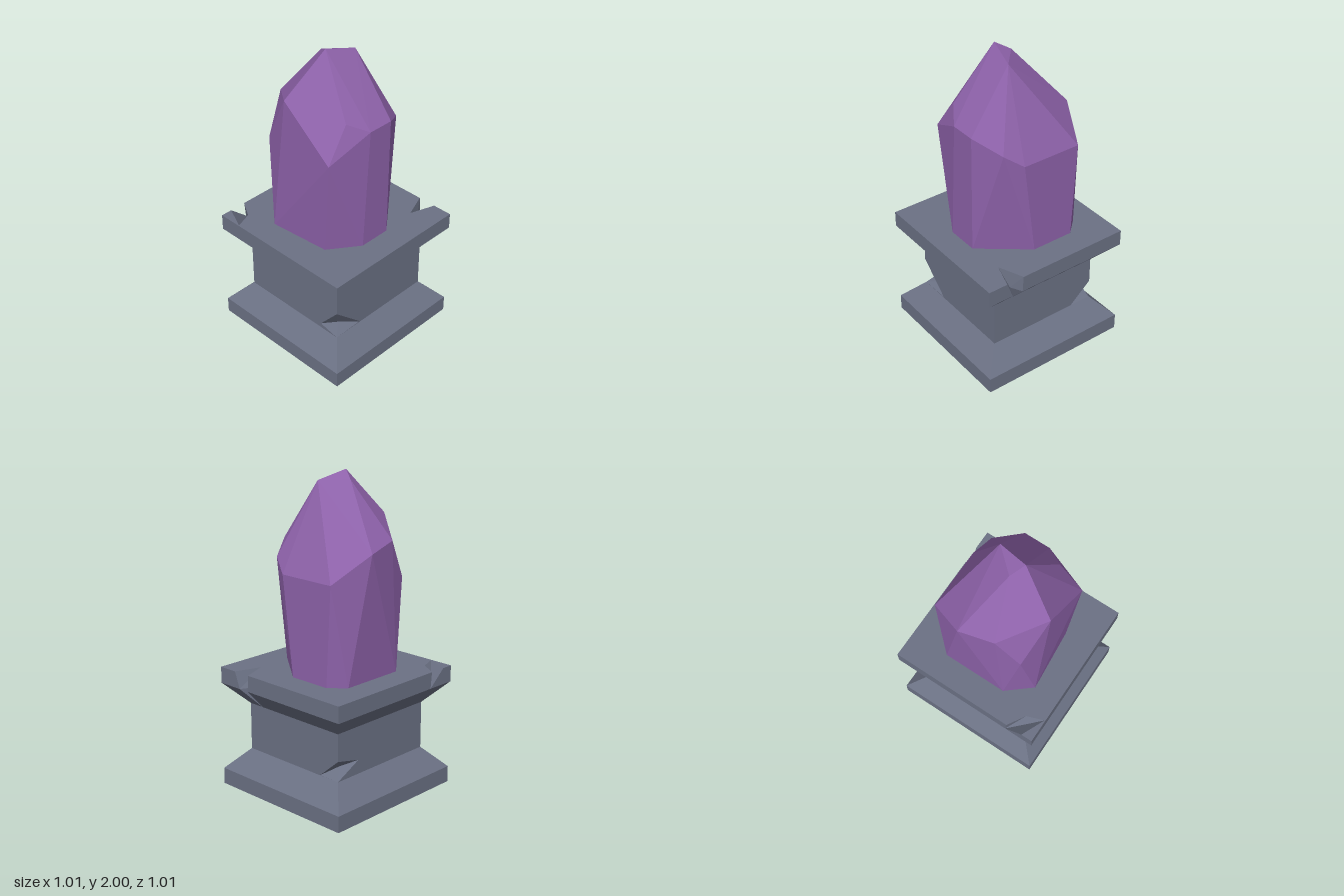
import * as THREE from 'three';
import { ConvexGeometry } from 'three/addons/geometries/ConvexGeometry.js';

const stone = new THREE.MeshStandardMaterial({ color: 0x6b7184 });
stone.name = 'grey stone';
const purple = new THREE.MeshStandardMaterial({ color: 0x8e62aa });
purple.name = 'purple crystal';

// One square cross-section, counter-clockwise from above. Chips are groups of
// points that collapse onto the wall wherever the stone is whole.
function ring(y, h, { frontChip, sideNotch, backChip, backNotch } = {}) {
  const repeat = (n, p) => Array.from({ length: n }, () => p);
  return [
    ...(frontChip || repeat(3, [-h, y, h])),
    [h, y, h],
    ...(sideNotch || repeat(3, [h, y, 0.27])),
    ...(backChip || repeat(3, [h, y, -h])),
    ...(backNotch || repeat(4, [-0.31, y, -h])),
    [-h, y, -h],
  ];
}

// Join rings from bottom to top and close both ends
function loft(rings) {
  const pos = [];
  const tri = (a, b, c) => {
    const [A, B, C] = [a, b, c].map((p) => new THREE.Vector3(...p));
    if (B.sub(A).cross(C.sub(A)).length() > 1e-6) pos.push(...a, ...b, ...c);
  };
  for (let k = 0; k + 1 < rings.length; k++) {
    const lo = rings[k], hi = rings[k + 1];
    lo.forEach((p, i) => {
      const j = (i + 1) % lo.length;
      tri(p, lo[j], hi[j]);
      tri(p, hi[j], hi[i]);
    });
  }
  const cap = (r, up) => {
    const pts = r.filter((p, i) => p.some((v, n) => v !== r[(i + 1) % r.length][n]));
    const flat = pts.map((p) => new THREE.Vector2(p[0], -p[2]));
    for (const [a, b, c] of THREE.ShapeUtils.triangulateShape(flat, [])) {
      if (up) tri(pts[a], pts[b], pts[c]);
      else tri(pts[a], pts[c], pts[b]);
    }
  };
  cap(rings[0], false);
  cap(rings[rings.length - 1], true);
  const geo = new THREE.BufferGeometry();
  geo.setAttribute('position', new THREE.Float32BufferAttribute(pos, 3));
  geo.computeVertexNormals();
  return geo;
}

function makePedestal() {
  const W = 0.505, N = 0.378; // half widths of slabs and neck
  return loft([
    ring(0, W),
    ring(0.105, W),
    ring(0.24, N),
    // deepest part of the two chipped neck corners
    ring(0.26, N, {
      frontChip: [[-N, 0.27, 0.24], [-0.29, 0.265, 0.3], [-0.17, 0.241, N]],
      backChip: [[N, 0.241, -0.23], [0.29, 0.29, -0.3], [0.2, 0.33, -N]],
    }),
    ring(0.4, N, {
      frontChip: Array(3).fill([-N, 0.43, N]),
      backChip: Array(3).fill([N, 0.37, -N]),
    }),
    ring(0.545, N),
    // groove in the flare and top slab
    ring(0.68, W, { sideNotch: [[W, 0.68, 0.335], [0.43, 0.68, 0.3], [W, 0.68, 0.262]] }),
    ring(0.785, W, {
      sideNotch: [[W, 0.785, 0.375], [0.34, 0.785, 0.32], [W, 0.785, 0.255]],
      backNotch: [[-0.32, 0.785, -W], [-0.39, 0.785, -0.39], [-0.5, 0.785, -0.35], [-0.43, 0.785, -W]],
    }),
  ]);
}

function makeCrystal() {
  const foot = [
    [-0.11, 0.335], [0.1, 0.335], [0.333, 0.04], [0.333, -0.24], [0.245, -0.335],
    [-0.18, -0.335], [-0.335, -0.205], [-0.3, 0.2],
  ].map(([x, z]) => [x, 0.78, z]);
  const shoulder = [
    [-0.06, 1.57, 0.335], [0.11, 1.57, 0.335], [0.275, 1.49, 0.23], [0.333, 1.41, 0.12],
    [0.333, 1.41, -0.275], [0.095, 1.57, -0.38], [-0.13, 1.61, -0.335],
    [-0.275, 1.36, -0.29], [-0.335, 1.72, -0.085], [-0.335, 1.43, 0.27], [-0.18, 1.64, 0.255],
  ];
  const tip = [[-0.1, 2, 0.015], [0.095, 1.95, 0.06], [-0.05, 1.95, -0.07]];
  return new ConvexGeometry([...foot, ...shoulder, ...tip].map((p) => new THREE.Vector3(...p)));
}

export function createModel() {
  const model = new THREE.Group();
  model.name = 'crystalOnPedestal';
  const add = (name, geo, mat) => {
    const mesh = new THREE.Mesh(geo, mat);
    mesh.name = name;
    model.add(mesh);
  };
  add('pedestal', makePedestal(), stone);
  add('crystal', makeCrystal(), purple);
  return model;
}
